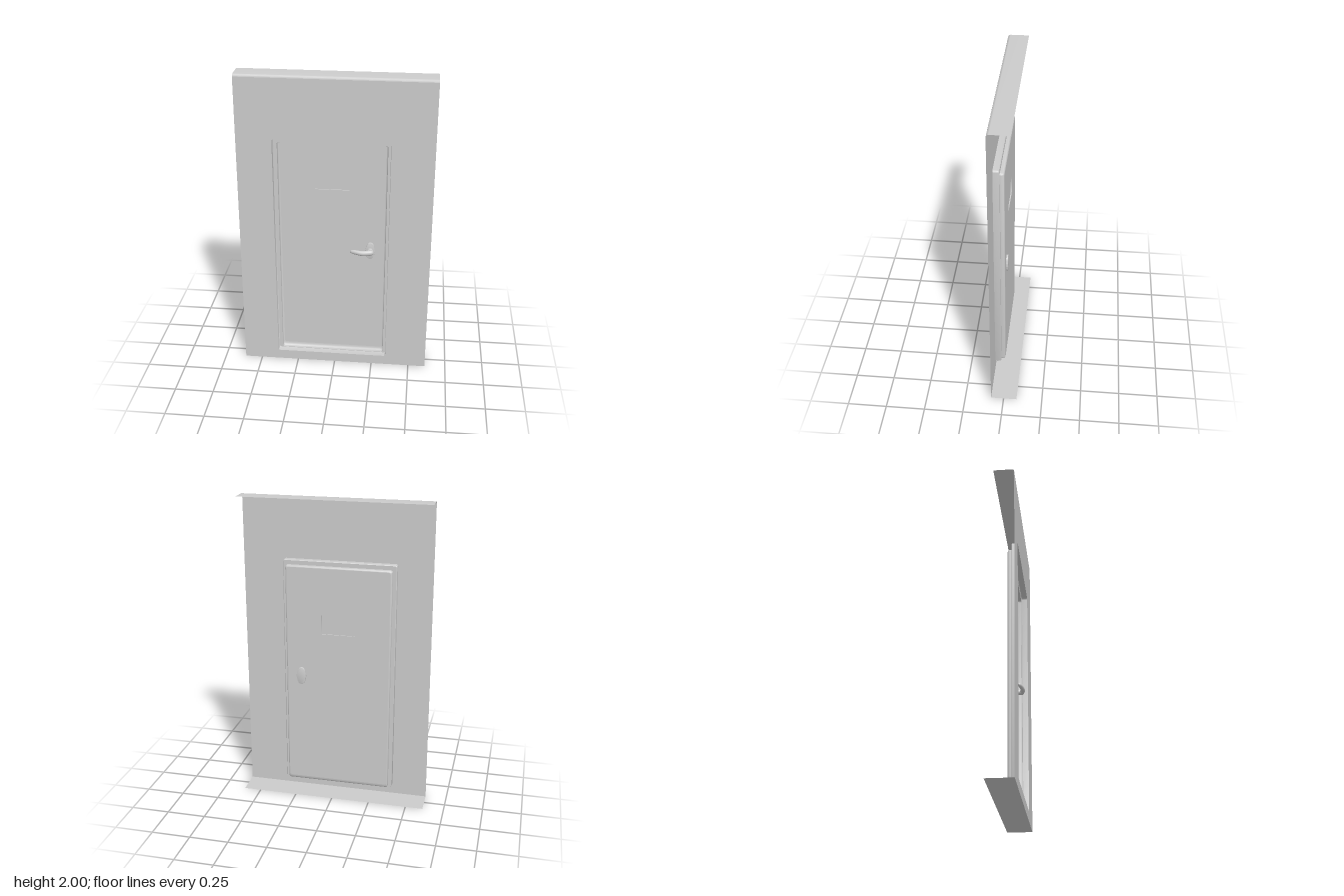
import * as THREE from 'three';
import { toCreasedNormals } from 'three/addons/utils/BufferGeometryUtils.js';

const sheet = new THREE.MeshStandardMaterial({ color: 0xcccccc, side: THREE.DoubleSide });
const solid = new THREE.MeshStandardMaterial({ color: 0xcccccc });

const FRONT = 0.082, STEP = 0.042, PANEL = 0.015;

function add(parent, name, geometry, material = sheet) {
  const mesh = new THREE.Mesh(geometry, material);
  mesh.name = name;
  parent.add(mesh);
  return mesh;
}

// Counter-clockwise rounded rectangle, always the same number of points
function roundedRect([x0, x1, y0, y1], r, n = 5) {
  const pts = [];
  const corners = [[x1 - r, y1 - r], [x0 + r, y1 - r], [x0 + r, y0 + r], [x1 - r, y0 + r]];
  corners.forEach(([cx, cy], c) => {
    for (let i = 0; i <= n; i++) {
      const a = (c + i / n) * Math.PI / 2;
      pts.push(new THREE.Vector2(cx + r * Math.cos(a), cy + r * Math.sin(a)));
    }
  });
  return pts;
}

// Skin between matching closed outlines given as { pts, z }
function loft(rings) {
  const n = rings[0].pts.length, pos = [], idx = [];
  for (const { pts, z } of rings) for (const p of pts) pos.push(p.x, p.y, z);
  for (let k = 0; k < rings.length - 1; k++) {
    for (let i = 0; i < n; i++) {
      const a = k * n + i, b = k * n + (i + 1) % n;
      idx.push(a, a + n, b, b, a + n, b + n);
    }
  }
  const g = new THREE.BufferGeometry();
  g.setAttribute('position', new THREE.Float32BufferAttribute(pos, 3));
  g.setIndex(idx);
  return toCreasedNormals(g, 0.6);
}

// Flat sheet with optional holes at depth z
function flat(pts, holes, z) {
  const s = new THREE.Shape(pts);
  holes.forEach(h => s.holes.push(new THREE.Path(h)));
  return new THREE.ShapeGeometry(s).translate(0, 0, z);
}

// Strip between x limits following a (y, z) profile
function strip(x0, x1, profile) {
  const pos = [], idx = [];
  profile.forEach(([y, z], i) => {
    pos.push(x0, y, z, x1, y, z);
    const a = 2 * i;
    if (i) idx.push(a - 2, a - 1, a, a - 1, a + 1, a);
  });
  const g = new THREE.BufferGeometry();
  g.setAttribute('position', new THREE.Float32BufferAttribute(pos, 3));
  g.setIndex(idx);
  return toCreasedNormals(g, 0.8);
}

// Tube with a radius rule along its length, squashed by flatY in height
function taperedTube(curve, radius, flatY, segments = 28, sides = 14) {
  const g = new THREE.TubeGeometry(curve, segments, 1, sides);
  const p = g.attributes.position, v = new THREE.Vector3();
  for (let i = 0; i < p.count; i++) {
    const t = Math.floor(i / (sides + 1)) / segments;
    const c = curve.getPointAt(t), r = radius(t);
    v.fromBufferAttribute(p, i).sub(c).multiplyScalar(r);
    v.y *= flatY;
    v.add(c);
    p.setXYZ(i, v.x, v.y, v.z);
  }
  g.computeVertexNormals();
  return g;
}

export function createModel() {
  const model = new THREE.Group();
  model.name = 'doorInWall';

  // Wall sheet with the door opening and folded flanges
  const opening = roundedRect([-0.385, 0.345, 0.065, 1.6], 0.012);
  const wall = new THREE.Group();
  wall.name = 'wall';
  model.add(wall);
  const top = 1.985;
  const wallOutline = [[-0.613, 0], [0.612, 0], [0.612, top], [-0.607, top]]
    .map(([x, y]) => new THREE.Vector2(x, y));
  add(wall, 'wallFace', flat(wallOutline, [opening], FRONT));
  const bend = [];
  for (let i = 0; i <= 5; i++) {
    const a = i / 5 * Math.PI / 2;
    bend.push([top + 0.015 * Math.sin(a), FRONT - 0.015 + 0.015 * Math.cos(a)]);
  }
  add(wall, 'topFlange', strip(-0.607, 0.612, [...bend, [2, -0.05]]));
  add(wall, 'bottomFlange', strip(-0.613, 0.612, [[0, -0.084], [0, FRONT]]));

  // Stepped frame pressed back from the wall, ending in a fillet to the door
  const inner = (d, low) => roundedRect([-0.36 + d, 0.325 - d, 0.069 + low, 1.57 - d], 0.014);
  const rings = [
    { pts: opening, z: FRONT },
    { pts: opening, z: STEP + 0.004 },
    { pts: roundedRect([-0.381, 0.341, 0.066, 1.596], 0.012), z: STEP },
    { pts: inner(0, 0), z: STEP },
  ];
  for (let i = 0; i <= 4; i++) {
    const a = i / 4 * Math.PI / 2, k = 1 - Math.cos(a);
    rings.push({ pts: inner(0.01 * k, 0.024 * k), z: PANEL + 0.014 * (1 - Math.sin(a)) });
  }
  add(model, 'doorFrame', loft(rings));

  // Door panel with the shallow viewing window
  const pane = roundedRect([-0.13, 0.088, 1.128, 1.255], 0.002, 2);
  const door = new THREE.Group();
  door.name = 'door';
  model.add(door);
  add(door, 'doorPanel', flat(rings.at(-1).pts, [pane], PANEL));
  add(door, 'windowEdge', loft([{ pts: pane, z: PANEL }, { pts: pane, z: PANEL + 0.007 }]));
  add(door, 'windowPane', flat(pane, [], PANEL + 0.007));

  // Lobed backing plate showing on both faces of the door
  const handle = new THREE.Group();
  handle.name = 'handle';
  handle.position.set(0.225, 0.833, 0);
  model.add(handle);
  const lobes = [];
  for (let i = 0; i < 40; i++) {
    const a = i / 40 * Math.PI * 2;
    const r = 0.029 + 0.027 * Math.pow(Math.abs(Math.sin(a)), 5);
    lobes.push(new THREE.Vector2(r * Math.cos(a), r * Math.sin(a)));
  }
  const plate = new THREE.ExtrudeGeometry(new THREE.Shape(lobes), {
    depth: 0.015, bevelEnabled: true, bevelSize: 0.003, bevelThickness: 0.003, bevelSegments: 2,
  });
  add(handle, 'handlePlate', toCreasedNormals(plate.translate(0, 0, 0.006), 0.6), solid);

  // Spindle with a domed end
  const spindle = [[0.022, 0.02], [0.018, 0.03], [0.017, 0.05], [0.015, 0.058], [0.009, 0.064], [0, 0.066]]
    .map(([r, y]) => new THREE.Vector2(r, y));
  add(handle, 'handleSpindle', new THREE.LatheGeometry(spindle, 20).rotateX(Math.PI / 2), solid);

  // Curved lever narrowing to a rounded tip
  const path = new THREE.CatmullRomCurve3([
    [0.025, 0.004, 0.045], [-0.01, 0.002, 0.055], [-0.05, 0, 0.06], [-0.09, 0.003, 0.054], [-0.13, 0.003, 0.042],
  ].map(p => new THREE.Vector3(...p)));
  const leverRadius = t => (0.017 - 0.006 * t) * Math.sqrt(Math.max(0, 1 - Math.pow(Math.abs(2 * t - 1), 8)));
  add(handle, 'handleLever', taperedTube(path, leverRadius, 1.2), solid);

  return model;
}
